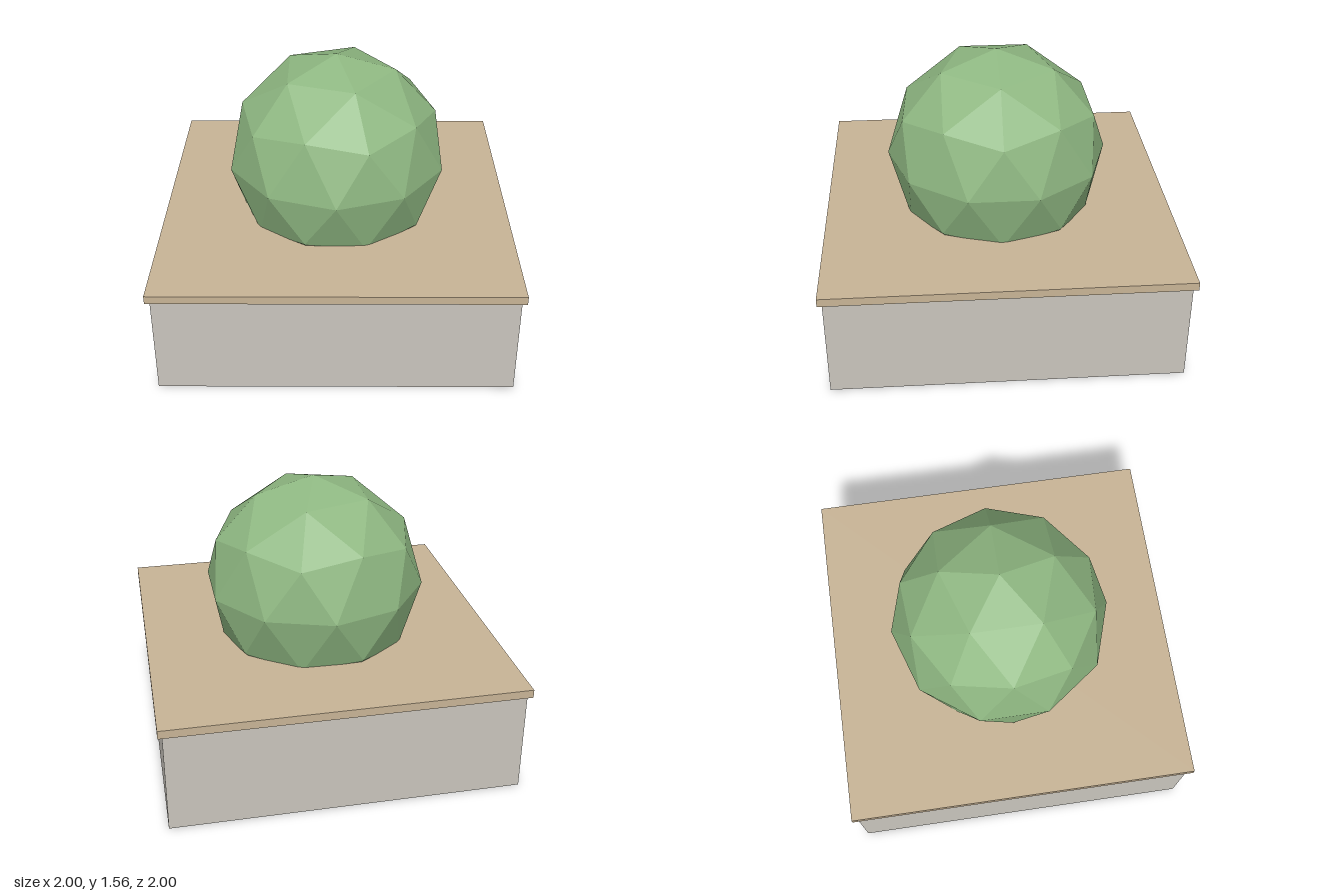
import * as THREE from 'three';

const material = (name, color, flatShading = false) => {
  const m = new THREE.MeshStandardMaterial({ color, flatShading });
  m.name = name;
  return m;
};

export function createModel() {
  const group = new THREE.Group();
  group.name = 'planterWithBush';

  const add = (name, geometry, mat, y) => {
    const mesh = new THREE.Mesh(geometry, mat);
    mesh.name = name;
    mesh.position.y = y;
    group.add(mesh);
  };

  // Square planter body with a slightly overhanging slab on top
  add('planterBody', new THREE.BoxGeometry(1.953, 0.583, 1.953), material('stoneGrey', 0xc9c5bd), 0.2915);
  add('planterSlab', new THREE.BoxGeometry(2, 0.047, 2), material('sandTan', 0xc8b496), 0.6065);

  // Faceted bush: icosphere turned so that one of its original corners points straight up
  const bush = new THREE.IcosahedronGeometry(0.633, 1);
  bush.rotateZ(-Math.atan(2 / (1 + Math.sqrt(5))));
  add('bush', bush, material('leafGreen', 0x8fb882, true), 0.93);

  return group;
}
